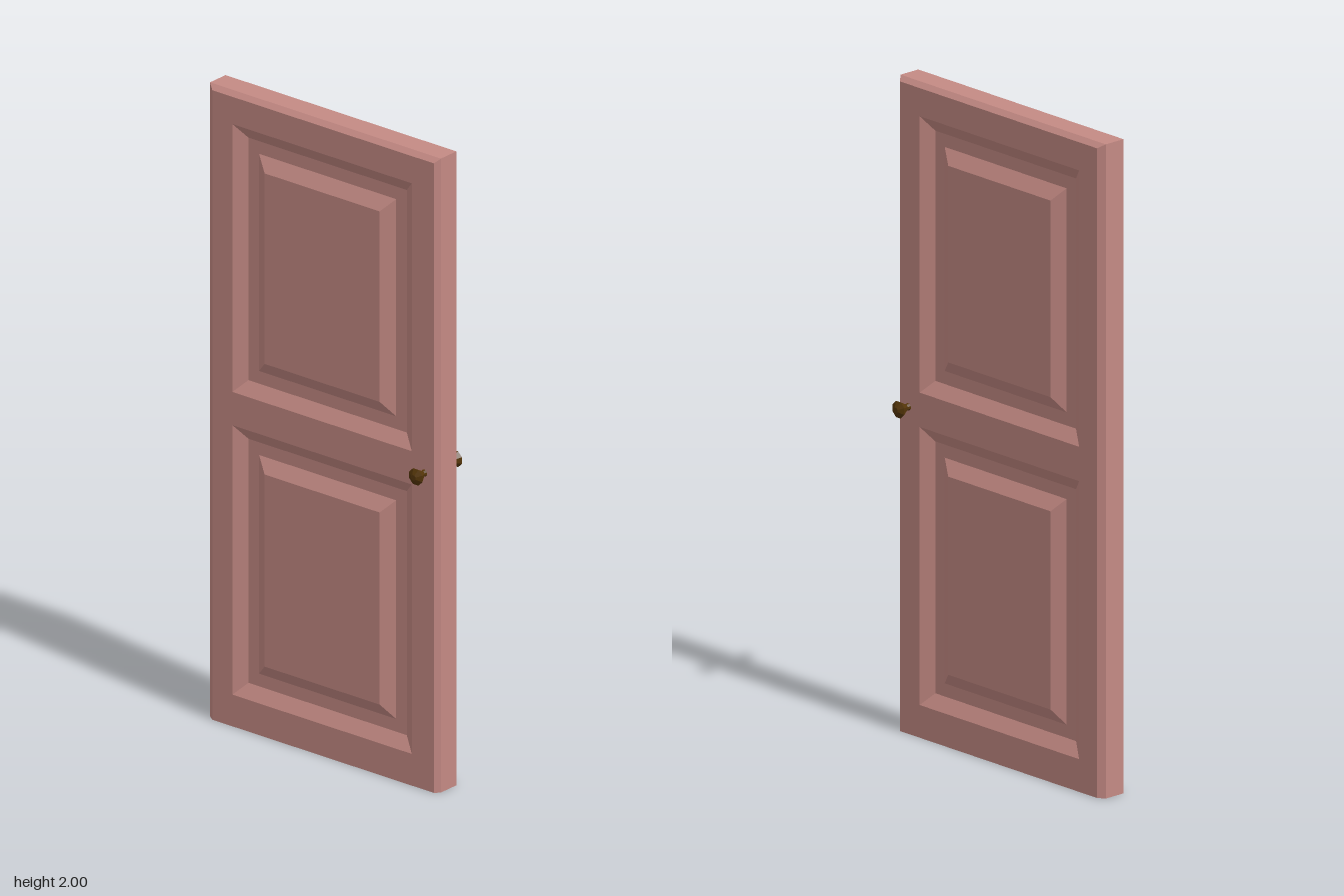
import * as THREE from 'three';

const paint = new THREE.MeshStandardMaterial({ color: 0xc48a84 });
paint.name = 'dusty pink paint';
const bronze = new THREE.MeshStandardMaterial({ color: 0x553609 });
bronze.name = 'dark bronze';

// A rectangle standing at depth x, given as four corners
const rect = (x, z0, z1, y0, y1) => [[x, y0, z1], [x, y0, z0], [x, y1, z0], [x, y1, z1]];
const inset = (x, [z0, z1, y0, y1], d) => rect(x, z0 + d, z1 - d, y0 + d, y1 - d);

// Flat-shaded mesh from quads; side -1 mirrors it across x
function quadMesh(name, quads, side = 1) {
  const pos = [];
  for (const [a, b, c, d] of quads) {
    const tris = side > 0 ? [a, b, c, a, c, d] : [a, c, b, a, d, c];
    for (const p of tris) pos.push(p[0] * side, p[1], p[2]);
  }
  const geo = new THREE.BufferGeometry();
  geo.setAttribute('position', new THREE.Float32BufferAttribute(pos, 3));
  geo.computeVertexNormals();
  const mesh = new THREE.Mesh(geo, paint);
  mesh.name = name;
  return mesh;
}

// Four quads joining an outer rectangle to an inner one
const ring = (outer, inner) => outer.map((p, i) => {
  const j = (i + 1) % 4;
  return [p, outer[j], inner[j], inner[i]];
});

const FACE = 0.05, RIM = 0.035, GROOVE = 0.025;
const Z0 = -0.416, Z1 = 0.424, TOP = 1.986;
const rim = x => rect(x, -0.4375, 0.4375, 0, 2);

// Each half of a face holds one raised panel
const halves = [
  { name: 'lowerPanel', y0: 0, y1: 1, panel: [-0.34, 0.34, 0.1, 0.95] },
  { name: 'upperPanel', y0: 1, y1: TOP, panel: [-0.34, 0.34, 1.055, 1.9] },
];

function makeKnob(side) {
  const profile = [[0.011, 0], [0.0095, 0.01], [0.027, 0.0395], [0.009, 0.05], [0, 0.05]]
    .map(p => new THREE.Vector2(...p));
  const geo = new THREE.LatheGeometry(profile, 8).toNonIndexed();
  geo.rotateY(Math.PI / 8);
  geo.rotateZ(-side * Math.PI / 2);
  geo.computeVertexNormals();
  const knob = new THREE.Mesh(geo, bronze);
  knob.name = side > 0 ? 'leftKnob' : 'rightKnob';
  knob.position.set(side * FACE, 1, 0.388);
  return knob;
}

export function createModel() {
  const door = new THREE.Group();
  door.name = 'door';
  // Outer edge of the slab
  door.add(quadMesh('slabEdge', ring(rim(-RIM), rim(RIM))));

  for (const side of [1, -1]) {
    // Chamfer around the face
    door.add(quadMesh('chamfer', ring(rim(RIM), rect(FACE, Z0, Z1, 0, TOP)), side));
    for (const { name, y0, y1, panel } of halves) {
      // Stiles and rails
      const opening = inset(FACE, panel, 0);
      door.add(quadMesh('frame', ring(rect(FACE, Z0, Z1, y0, y1), opening), side));
      // Sloped groove, flat floor, and bevel rising to the flush panel
      const floorOut = inset(FACE - GROOVE, panel, 0.04);
      const floorIn = inset(FACE - GROOVE, panel, 0.08);
      const field = inset(FACE, panel, 0.122);
      door.add(quadMesh(name, [
        ...ring(opening, floorOut),
        ...ring(floorOut, floorIn),
        ...ring(floorIn, field),
        field,
      ], side));
    }
    door.add(makeKnob(side));
  }
  return door;
}
